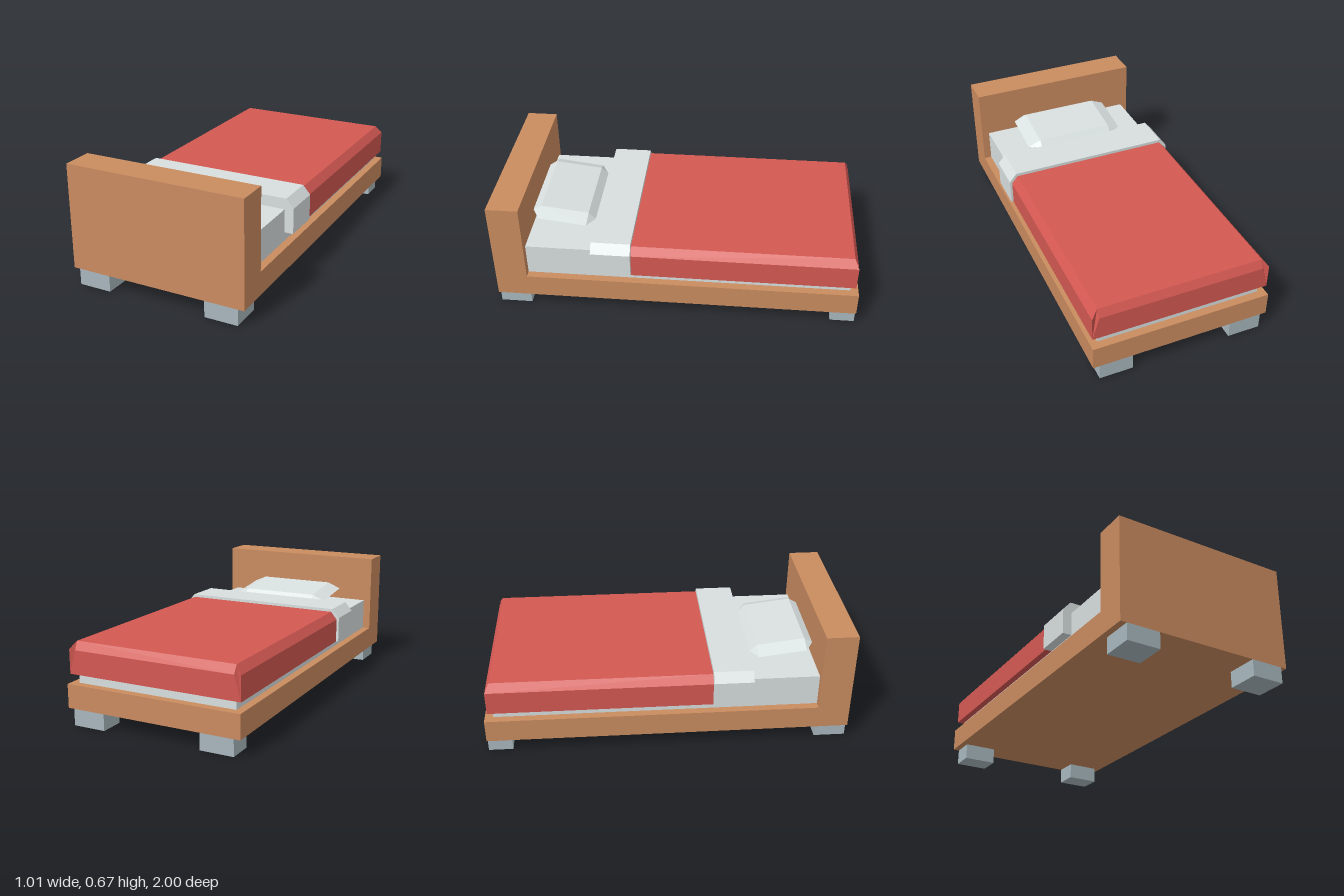
import * as THREE from 'three';
import { ConvexGeometry } from 'three/addons/geometries/ConvexGeometry.js';

const material = (color) => new THREE.MeshStandardMaterial({ color, flatShading: true });
const wood = material(0xc98b5f);
const linen = material(0xd8dfdf);
const red = material(0xd45852);
const metal = material(0xa8b7bd);

function addMesh(parent, name, geometry, mat) {
  const mesh = new THREE.Mesh(geometry, mat);
  mesh.name = name;
  parent.add(mesh);
  return mesh;
}

// Box given by its minimum and maximum corners
function addBox(parent, name, min, max, mat) {
  const size = max.map((v, i) => v - min[i]);
  const mesh = addMesh(parent, name, new THREE.BoxGeometry(...size), mat);
  mesh.position.set(...max.map((v, i) => (v + min[i]) / 2));
  return mesh;
}

const polygon = (points) => new THREE.Shape(points.map((p) => new THREE.Vector2(...p)));
const extrude = (points, depth) =>
  new THREE.ExtrudeGeometry(polygon(points), { depth, bevelEnabled: false });

const mattress = { halfX: 0.457, top: 0.4, bottom: 0.22, back: -0.955, front: 0.825 };

// Cloth draped over the mattress: an inverted U with chamfered shoulders
function drape(halfX, shoulderX, shoulderY, top, z0, z1) {
  const inX = mattress.halfX, inY = mattress.top, hem = 0.27;
  return extrude([
    [-halfX, hem], [-inX, hem], [-inX, inY], [inX, inY], [inX, hem], [halfX, hem],
    [halfX, shoulderY], [shoulderX, top], [-shoulderX, top], [-halfX, shoulderY],
  ], z1 - z0).translate(0, 0, z0);
}

export function createModel() {
  const bed = new THREE.Group();
  bed.name = 'bed';

  // Base and headboard as one L-shaped side profile, drawn in (z, y)
  const frame = extrude([
    [-1, 0.09], [1, 0.09], [1, 0.67], [0.825, 0.67], [0.825, 0.22], [-1, 0.22],
  ], 1);
  frame.translate(0, 0, -0.5).rotateY(-Math.PI / 2);
  addMesh(bed, 'frame', frame, wood);

  // Legs, the front pair deeper than the back pair
  for (const side of [-1, 1]) {
    const x0 = side > 0 ? 0.28 : -0.465, x1 = x0 + 0.185;
    const label = side > 0 ? 'Left' : 'Right';
    addBox(bed, 'front' + label + 'Leg', [x0, 0, 0.825], [x1, 0.09, 1], metal);
    addBox(bed, 'back' + label + 'Leg', [x0, 0, -1], [x1, 0.09, -0.865], metal);
  }

  const m = mattress;
  addBox(bed, 'mattress', [-m.halfX, m.bottom, m.back], [m.halfX, m.top, m.front], linen);

  // Blanket, its top edge pulled in at the foot, and the part hanging over the foot
  const blanket = new THREE.Group();
  blanket.name = 'blanket';
  bed.add(blanket);
  const cover = drape(0.494, 0.459, 0.402, 0.445, -0.98, 0.24);
  const p = cover.attributes.position;
  for (let i = 0; i < p.count; i++) {
    if (p.getY(i) > 0.42 && p.getZ(i) < -0.9) p.setZ(i, -0.957);
  }
  addMesh(blanket, 'blanketCover', cover, red);
  addBox(blanket, 'blanketFootDrop', [-m.halfX, 0.27, -0.98], [m.halfX, m.top, m.back], red);

  // Folded-over sheet
  addMesh(bed, 'foldedSheet', drape(0.507, 0.465, 0.412, 0.461, 0.242, 0.458), linen);

  // Pillow: smaller top and bottom rectangles around a wide middle with cut corners
  const points = [];
  for (const sx of [-1, 1]) {
    for (const sz of [-1, 1]) {
      for (const y of [-0.033, 0.033]) points.push(new THREE.Vector3(sx * 0.225, y, sz * 0.134));
      points.push(new THREE.Vector3(sx * 0.225, 0, sz * 0.177));
      points.push(new THREE.Vector3(sx * 0.3, 0, sz * 0.134));
    }
  }
  const pillow = addMesh(bed, 'pillow', new ConvexGeometry(points), linen);
  pillow.position.set(-0.005, 0.456, 0.648);
  pillow.rotation.x = -0.122;

  return bed;
}
